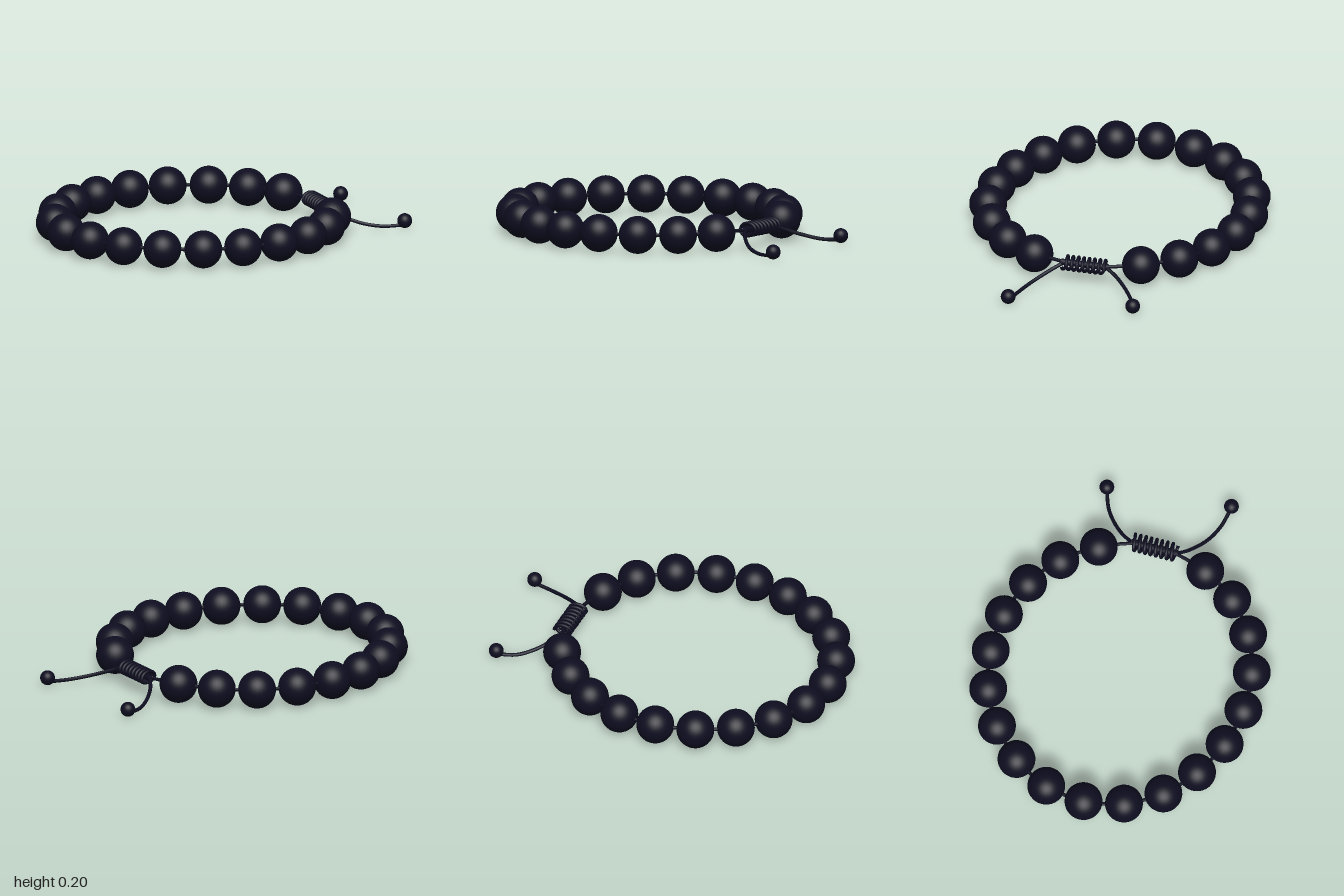
import * as THREE from 'three';

const BEAD_Y = 0.105, BEAD_R = 0.102, CORD_R = 0.01;

// Bead centres (x, z) around the loop, from the back end to the front end
const BEADS = [
  [0.53, -0.292], [0.404, -0.473], [0.233, -0.607], [0.027, -0.687], [-0.19, -0.703],
  [-0.406, -0.66], [-0.6, -0.56], [-0.757, -0.41], [-0.864, -0.216], [-0.898, 0],
  [-0.856, 0.214], [-0.746, 0.404], [-0.583, 0.548], [-0.388, 0.65], [-0.174, 0.698],
  [0.045, 0.687], [0.251, 0.612], [0.422, 0.478], [0.543, 0.297],
];

export function createModel() {
  const group = new THREE.Group();
  const navy = new THREE.MeshStandardMaterial({ color: 0x0d0d20 });
  navy.name = 'dark navy';

  const add = (name, geometry, position) => {
    const mesh = new THREE.Mesh(geometry, navy);
    mesh.name = name;
    if (position) mesh.position.set(...position);
    group.add(mesh);
    return mesh;
  };
  const cord = (name, points, segments, radius = CORD_R) => {
    const curve = new THREE.CatmullRomCurve3(points.map((p) => new THREE.Vector3(...p)));
    return add(name, new THREE.TubeGeometry(curve, segments, radius, 8), null);
  };

  // Beads
  const beadGeometry = new THREE.SphereGeometry(BEAD_R, 32, 24);
  BEADS.forEach(([x, z]) => add('bead', beadGeometry, [x, BEAD_Y, z]));

  // Cord through the beads, ending inside the knot
  cord('loopCord', [
    [0.6, BEAD_Y, -0.11], [0.575, BEAD_Y, -0.185],
    ...BEADS.map(([x, z]) => [x, BEAD_Y, z]),
    [0.58, BEAD_Y, 0.185], [0.6, BEAD_Y, 0.11],
  ], 160);

  // Sliding knot: straight core wrapped in a coil
  cord('knotCore', [[0.602, BEAD_Y, -0.13], [0.602, BEAD_Y, 0.13]], 4, 0.018);
  const turns = 8, coil = [];
  for (let i = 0; i <= turns * 12; i++) {
    const a = (i / 12) * Math.PI * 2;
    coil.push([0.604 + 0.046 * Math.cos(a), BEAD_Y + 0.034 * Math.sin(a), -0.12 + (0.24 * i) / (turns * 12)]);
  }
  cord('knotCoil', coil, 240, 0.009);

  // Loose tails with small end beads
  const tails = [
    [[0.6, 0.1, -0.12], [0.64, 0.073, -0.185], [0.71, 0.042, -0.255], [0.79, 0.022, -0.307], [0.893, 0.022, -0.343]],
    [[0.6, 0.1, 0.12], [0.65, 0.07, 0.182], [0.74, 0.036, 0.257], [0.84, 0.02, 0.305], [0.957, 0.022, 0.333]],
  ];
  const endGeometry = new THREE.SphereGeometry(0.04, 24, 16);
  for (const points of tails) {
    cord('tailCord', points, 32);
    const [x, , z] = points[points.length - 1];
    add('tailBead', endGeometry, [x, 0.045, z]);
  }
  return group;
}
